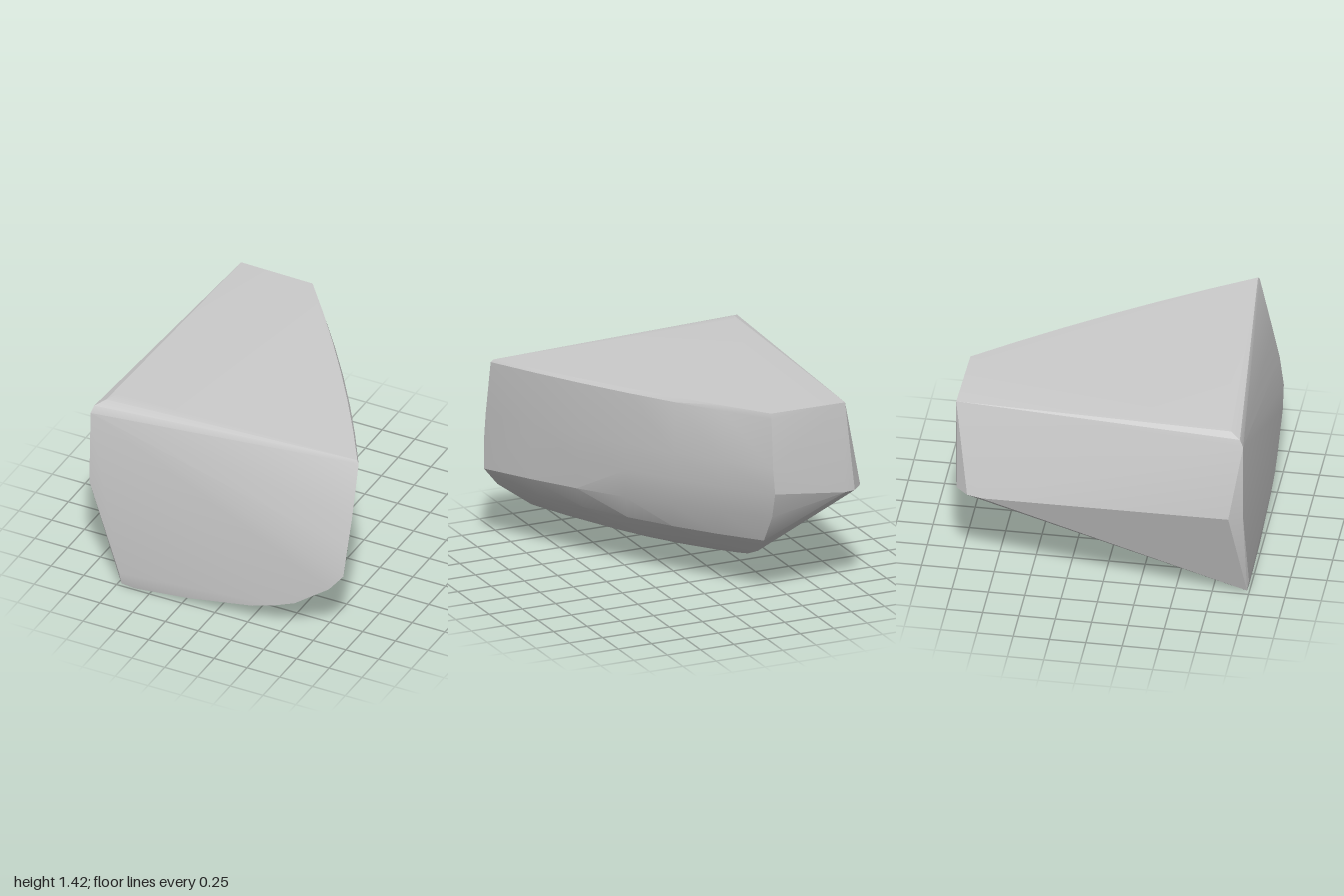
import * as THREE from 'three';
import { ConvexGeometry } from 'three/addons/geometries/ConvexGeometry.js';
import { toCreasedNormals } from 'three/addons/utils/BufferGeometryUtils.js';

// Each row joins a point on the front rim to one on the rear keel; the last number is the outward bulge.
const rows = [
  [[0.98, 1.42, 0.79], [-0.27, 1.42, -0.99], 0.04],
  [[0.995, 1.4, 0.8], [-0.27, 1.38, -0.995], 0.05],
  [[0.99, 1.0, 0.89], [-0.28, 1.02, -1], 0.055],
  [[0.98, 0.78, 0.94], [-0.3, 0.83, -0.99], 0.055],
  [[0.965, 0.57, 0.97], [-0.31, 0.64, -0.92], 0.055],
  [[0.86, 0.44, 0.98], [-0.31, 0.43, -0.79], 0.05],
  [[0.6, 0.25, 0.985], [-0.34, 0.3, -0.63], 0.05],
  [[0.45, 0.19, 0.99], [-0.35, 0.22, -0.45], 0.04],
  [[0.28, 0.135, 0.99], [-0.37, 0.15, -0.22], 0.03],
  [[-0.2, 0.05, 0.99], [-0.42, 0.09, 0.05], 0.01],
  [[-0.62, 0, 0.985], [-0.47, 0.04, 0.42], 0],
];

// Corners of the narrow side, the back face and the rounded front top edge.
const corners = [
  [-0.72, 0.01, 0.985], [-0.73, 0.1, 1], [-0.6, 0.06, 0.998],
  [-0.96, 0.78, 0.995], [-1, 0.77, 0.9], [-1, 0.765, -0.8],
  [-0.98, 0.77, -0.9], [-0.9, 0.77, -0.985], [-0.82, 0.77, -1],
  [-0.82, 1.42, -1],
  [-0.95, 1.34, 0.995], [-0.935, 1.39, 0.97], [-0.88, 1.415, 0.9], [-0.84, 1.42, 0.82],
];

export function createModel() {
  const group = new THREE.Group();
  const points = corners.map((p) => new THREE.Vector3(...p));

  // Gently bowed wide side and rounded underside.
  for (const [front, rear, bulge] of rows) {
    const a = new THREE.Vector3(...front);
    const b = new THREE.Vector3(...rear);
    const down = THREE.MathUtils.clamp((0.7 - a.y) * 1.4, 0, 1);
    const out = new THREE.Vector3(0.82 * (1 - down * 0.5), -down, -0.57 * (1 - down * 0.5)).normalize();
    for (let i = 0; i <= 6; i++) {
      const t = i / 6;
      points.push(a.clone().lerp(b, t).addScaledVector(out, bulge * 4 * t * (1 - t)));
    }
  }

  const geometry = toCreasedNormals(new ConvexGeometry(points), 0.3);
  const body = new THREE.Mesh(geometry, new THREE.MeshStandardMaterial({ color: 0xcccccc }));
  body.name = 'wedgeBody';
  group.add(body);
  return group;
}
